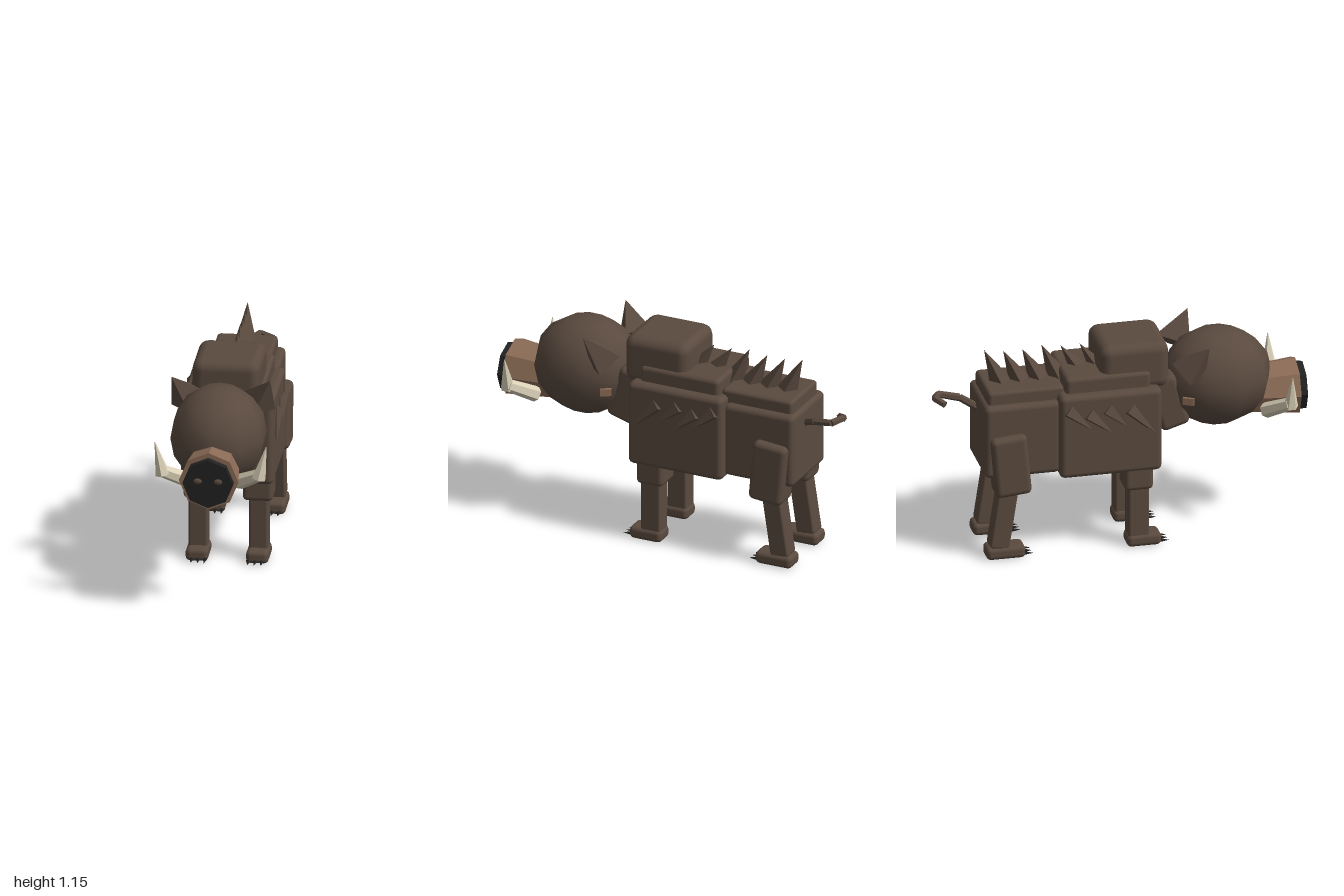
import * as THREE from 'three';
import { RoundedBoxGeometry } from 'three/addons/geometries/RoundedBoxGeometry.js';

const mat = (name, color) => {
  const m = new THREE.MeshStandardMaterial({ color });
  m.name = name;
  return m;
};

export function createModel() {
  const root = new THREE.Group();
  root.name = 'tuskedBoar';
  const hide = mat('brown hide', 0x5a4a3f);
  const skin = mat('tan skin', 0x8b6b56);
  const ivory = mat('ivory', 0xd8cfb6);
  const black = mat('black', 0x222222);

  const add = (name, geo, material, x = 0, y = 0, z = 0) => {
    const m = new THREE.Mesh(geo, material);
    m.name = name;
    m.position.set(x, y, z);
    root.add(m);
    return m;
  };
  // rounded box given by its centre and size
  const box = (name, material, [x, y, z], [w, h, d], r = 0.03, tilt = 0) => {
    const m = add(name, new RoundedBoxGeometry(w, h, d, 2, r), material, x, y, z);
    m.rotation.x = tilt;
    return m;
  };
  const faceted = (geo) => {
    const g = geo.toNonIndexed();
    g.computeVertexNormals();
    return g;
  };
  // faceted tapered rod from a to b
  const rod = (name, material, a, b, ra, rb, sides, turn = 0) => {
    const p = new THREE.Vector3(...a), q = new THREE.Vector3(...b);
    const dir = q.clone().sub(p);
    const g = new THREE.CylinderGeometry(rb, ra, dir.length(), sides, 1);
    g.rotateY(turn);
    const m = add(name, faceted(g), material);
    m.position.copy(p).add(q).multiplyScalar(0.5);
    m.quaternion.setFromUnitVectors(new THREE.Vector3(0, 1, 0), dir.normalize());
    return m;
  };

  // Trunk
  box('chest', hide, [0, 0.685, -0.095], [0.49, 0.47, 0.55]);
  box('hindquarters', hide, [0, 0.675, -0.56], [0.4, 0.41, 0.41]);
  box('shoulderHump', hide, [0, 1.02, 0.05], [0.36, 0.265, 0.37], 0.055);
  box('frontBackRidge', hide, [0, 0.95, -0.1], [0.39, 0.11, 0.46], 0.025);
  box('rearBackRidge', hide, [0, 0.9, -0.535], [0.32, 0.1, 0.41], 0.02);
  box('neck', hide, [0, 0.78, 0.24], [0.28, 0.3, 0.16], 0.03, -0.3);
  add('chestPatch', new THREE.BoxGeometry(0.22, 0.28, 0.009), skin, 0, 0.625, 0.183);

  // Head: ten-sided ball with its corner facing forwards
  const skull = new THREE.SphereGeometry(1, 10, 8, Math.PI / 2);
  skull.scale(0.257, 0.267, 0.297);
  add('head', skull, hide, 0, 0.863, 0.525);

  // Snout and nose
  rod('snout', skin, [0, 0.758, 0.6], [0, 0.758, 0.95], 0.12, 0.158, 8);
  rod('nose', black, [0, 0.756, 0.94], [0, 0.756, 0.99], 0.134, 0.134, 8);
  for (const s of [-1, 1]) {
    const nostril = new THREE.SphereGeometry(1, 8, 6);
    nostril.scale(0.024, 0.017, 0.011);
    add('nostril', nostril, hide, s * 0.054, 0.77, 0.989);

    // Tusks
    rod('tuskBase', ivory, [s * 0.135, 0.69, 0.76], [s * 0.265, 0.775, 0.865], 0.042, 0.034, 6);
    rod('tuskTip', ivory, [s * 0.255, 0.755, 0.868], [s * 0.295, 0.935, 0.87], 0.04, 0.002, 6);

    // Ears and the small marks behind the cheeks
    rod('ear', hide, [s * 0.18, 0.985, 0.335], [s * 0.262, 1.137, 0.43], 0.105, 0, 4);
    const mark = add('cheekMark', new THREE.BoxGeometry(0.02, 0.04, 0.06), skin, s * 0.18, 0.805, 0.335);
    mark.rotation.y = s * 0.5;

    // Front legs
    box('frontThigh', hide, [s * 0.157, 0.43, 0.057], [0.16, 0.18, 0.155], 0.025);
    box('frontShin', hide, [s * 0.16, 0.22, 0.062], [0.1, 0.33, 0.112], 0.012);

    // Rear legs
    box('haunch', hide, [s * 0.167, 0.545, -0.63], [0.155, 0.34, 0.195], 0.03, -0.09);
    box('rearShin', hide, [s * 0.16, 0.23, -0.665], [0.1, 0.33, 0.105], 0.012, 0.15);

    // Feet with three claws each
    for (const [z, depth] of [[0.09, 0.185], [-0.655, 0.21]]) {
      box('foot', hide, [s * 0.16, 0.041, z], [0.12, 0.07, depth], 0.025);
      const toe = z + depth / 2;
      for (const x of [0.115, 0.15, 0.185]) {
        rod('claw', black, [s * x, 0.022, toe - 0.015], [s * x, 0.017, toe + 0.046], 0.014, 0, 4);
      }
    }

    // Flank spikes: upper rear root, lower front point
    const flank = [[0.0, 0.82, 0.14, 0.68], [-0.12, 0.83, -0.01, 0.73],
      [-0.22, 0.81, -0.09, 0.7], [-0.33, 0.84, -0.2, 0.73]];
    for (const [z0, y0, z1, y1] of flank) {
      rod('flankSpike', hide, [s * 0.235, y0, z0], [s * 0.262, y1, z1], 0.042, 0, 4);
    }
  }

  // Row of swept-back spikes along the spine
  for (let i = 0; i < 7; i++) {
    const tip = -0.727 + i * 0.103;
    const base = i < 4 ? 0.93 : 0.98;
    rod('spineSpike', hide, [0, base, tip + 0.09], [0, i % 3 ? 1.115 : 1.13, tip], i < 4 ? 0.06 : 0.045, 0, 4);
  }

  // Crooked tail
  const tail = [[0.03, 0.79, -0.755], [0.085, 0.83, -0.84], [0.105, 0.85, -0.945],
    [0.04, 0.86, -0.983], [-0.01, 0.84, -0.94]];
  for (let i = 0; i < tail.length - 1; i++) {
    rod('tail', hide, tail[i], tail[i + 1], 0.021, 0.019, 6);
  }

  return root;
}
